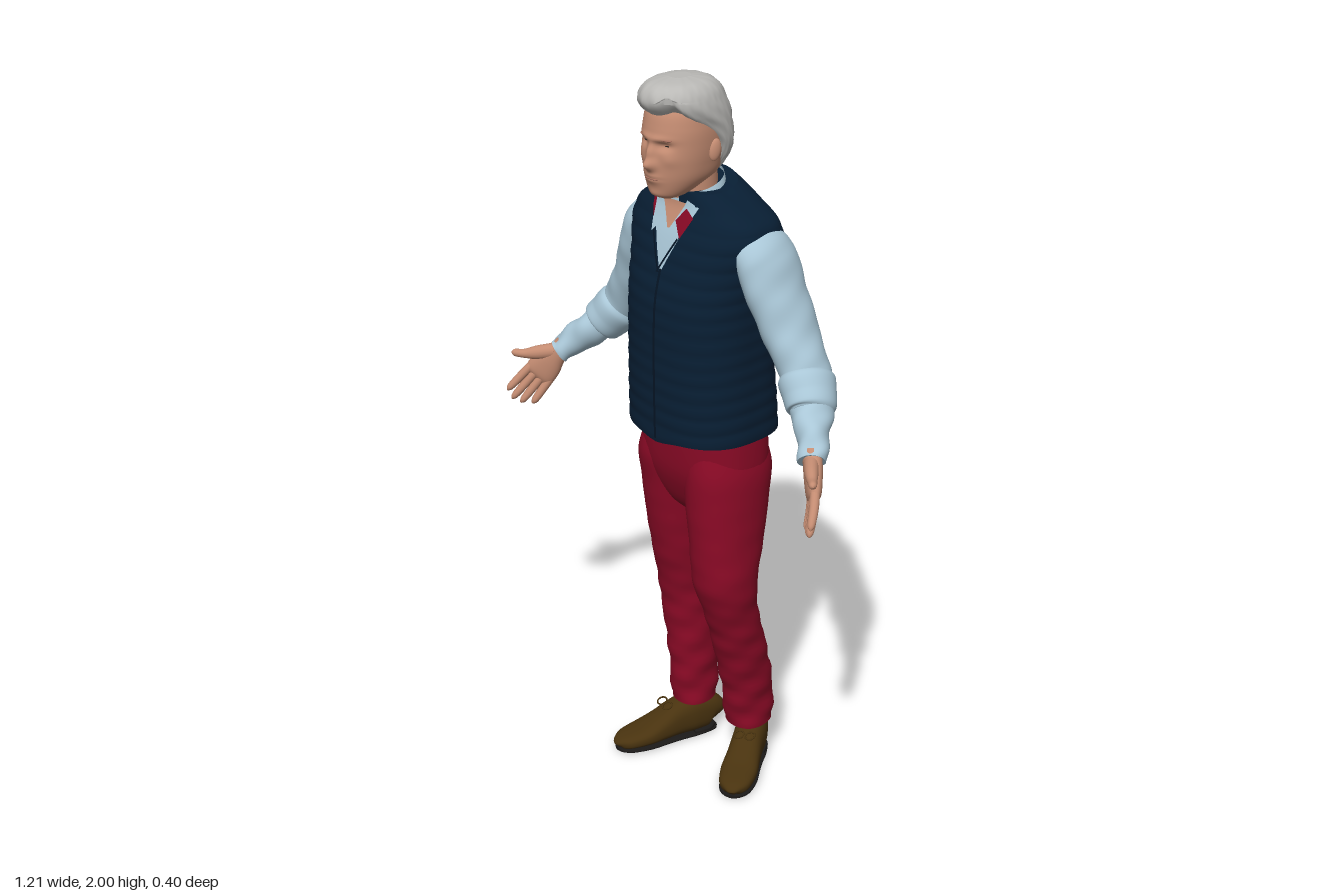
import * as THREE from 'three';

const V = (x, y, z) => new THREE.Vector3(x, y, z);
const paint = (name, color) => {
  const m = new THREE.MeshStandardMaterial({ color, side: THREE.DoubleSide });
  m.name = name;
  return m;
};

// Catmull-Rom sample of a list of stations [x, y, z, radiusA, radiusB]
function sample(st, t) {
  const f = t * (st.length - 1), i = Math.min(Math.floor(f), st.length - 2), u = f - i;
  const at = k => st[Math.max(0, Math.min(st.length - 1, k))];
  return st[0].map((_, j) => {
    const a = at(i - 1)[j], b = at(i)[j], c = at(i + 1)[j], d = at(i + 2)[j];
    return 0.5 * (2 * b + (c - a) * u + (2 * a - 5 * b + 4 * c - d) * u * u + (3 * b - a - 3 * c + d) * u ** 3);
  });
}

// Skin of superellipse rings through the stations; mod() may shift each point
function loft(name, mat, st, { seg = 32, sub = 6, n = 2, nBack = n, flat = false, ref = V(0, 0, 1), open = false, mod } = {}) {
  const rows = (st.length - 1) * sub, pos = [], idx = [];
  const up = V(0, Math.sign(st[st.length - 1][1] - st[0][1]), 0);
  const pow = (v, e) => Math.sign(v) * Math.abs(v) ** (2 / e);
  for (let r = 0; r <= rows; r++) {
    const t = r / rows, [x, y, z, ra, rb] = sample(st, t), c = V(x, y, z);
    const p0 = sample(st, Math.max(0, t - 0.01)), p1 = sample(st, Math.min(1, t + 0.01));
    const T = flat ? up : V(p1[0] - p0[0], p1[1] - p0[1], p1[2] - p0[2]).normalize();
    const A = ref.clone().addScaledVector(T, -ref.dot(T)).normalize(), B = T.clone().cross(A);
    for (let k = 0; k < seg; k++) {
      const th = k / seg * Math.PI * 2, e = Math.cos(th) < 0 ? nBack : n;
      const p = c.clone().addScaledVector(A, pow(Math.cos(th), e) * Math.max(ra, 0.001))
        .addScaledVector(B, pow(Math.sin(th), e) * Math.max(rb, 0.001));
      if (mod) mod(p, th, t, p.clone().sub(c).normalize());
      pos.push(p.x, p.y, p.z);
    }
  }
  for (let r = 0; r < rows; r++) for (let k = 0; k < seg; k++) {
    const a = r * seg + k, b = r * seg + (k + 1) % seg;
    idx.push(a, b, b + seg, a, b + seg, a + seg);
  }
  // end caps with their own vertices so the hems stay crisp
  if (!open) for (const r of [0, rows]) {
    const base = pos.length / 3, c = V(0, 0, 0);
    for (let k = 0; k < seg; k++) {
      const q = pos.slice((r * seg + k) * 3, (r * seg + k) * 3 + 3);
      pos.push(...q);
      c.add(V(...q).divideScalar(seg));
    }
    pos.push(c.x, c.y, c.z);
    for (let k = 0; k < seg; k++) {
      const a = base + k, b = base + (k + 1) % seg;
      idx.push(...(r ? [a, b, base + seg] : [b, a, base + seg]));
    }
  }
  return surface(name, mat, pos, idx);
}

function surface(name, mat, pos, idx) {
  const g = new THREE.BufferGeometry();
  g.setAttribute('position', new THREE.Float32BufferAttribute(pos, 3));
  g.setIndex(idx);
  g.computeVertexNormals();
  const m = new THREE.Mesh(g, mat);
  m.name = name;
  return m;
}

function blob(name, mat, x, y, z, sx, sy, sz) {
  const m = new THREE.Mesh(new THREE.SphereGeometry(1, 20, 14), mat);
  m.name = name;
  m.position.set(x, y, z);
  m.scale.set(sx, sy, sz);
  return m;
}

const VEST_N = 2.4;
const VEST = [[0, 1.02, -.023, .164, .198], [0, 1.1, -.02, .163, .196], [0, 1.235, -.014, .158, .193],
  [0, 1.4, -.02, .16, .196], [0, 1.5, -.034, .152, .208], [0, 1.58, -.037, .13, .224],
  [0, 1.63, -.038, .11, .21], [-.004, 1.665, -.034, .094, .157], [-.01, 1.7, -.02, .078, .1]];

// Depth of the vest front at (x, y)
function frontZ(x, y) {
  let lo = 0, hi = 1;
  for (let i = 0; i < 24; i++) { const m = (lo + hi) / 2; if (sample(VEST, m)[1] < y) lo = m; else hi = m; }
  const [cx, , z, rz, rx] = sample(VEST, lo);
  return z + rz * Math.max(0, 1 - Math.abs((x - cx) / rx) ** VEST_N) ** (1 / VEST_N);
}

// Thin cloth patch laid on the chest; corners are bottom pair, then top pair
function patch(name, mat, bl, br, tl, tr, off) {
  const pos = [], idx = [], N = 14, mix = THREE.MathUtils.lerp;
  for (let j = 0; j <= N; j++) for (let i = 0; i <= N; i++) {
    const u = i / N, v = j / N;
    const x = mix(mix(bl[0], br[0], u), mix(tl[0], tr[0], u), v), y = mix(mix(bl[1], br[1], u), mix(tl[1], tr[1], u), v);
    pos.push(x, y, frontZ(x, y) + off);
    if (i < N && j < N) { const a = j * (N + 1) + i, b = a + N + 1; idx.push(a, a + 1, b + 1, a, b + 1, b); }
  }
  return surface(name, mat, pos, idx);
}

export function createModel() {
  const model = new THREE.Group();
  model.name = 'standingMan';
  const add = (...m) => model.add(...m);
  const skin = paint('skin', 0xc48c72), lip = paint('lips', 0xa8705f), hair = paint('grey hair', 0xbab9b6);
  const navy = paint('navy vest', 0x081e33), shirt = paint('pale blue shirt', 0xa9c6d6), red = paint('crimson cloth', 0x860924);
  const brown = paint('brown leather', 0x49330f), dark = paint('dark rubber', 0x1c1a19), seam = paint('vest seam', 0x051424);

  // Torso: softly quilted vest
  add(loft('vest', navy, VEST, {
    seg: 72, sub: 14, n: VEST_N, nBack: 3, flat: true,
    mod(p, th, t, out) {
      p.addScaledVector(out, .003 + .003 * Math.abs(Math.sin(Math.PI * p.y / .046 + .3 * Math.sin(th * 3))) * Math.min(1, (1.7 - p.y) * 8));
      p.y += Math.max(0, Math.min(1, (p.y - 1.6) / .1)) * Math.max(0, -p.z - .02) * .4 * Math.exp(-((p.x / .12) ** 2));
      if (t < .06 && p.z > 0) p.y -= .012 * Math.exp(-((p.x / .05) ** 2));
    }
  }));
  add(patch('zip', seam, [-.004, 1.02], [.004, 1.02], [-.004, 1.5], [.004, 1.5], .008));

  // Neck opening: shirt, bare throat, collar flaps and red lining
  add(patch('shirtFront', shirt, [-.003, 1.495], [.003, 1.495], [-.085, 1.67], [.075, 1.67], .008));
  add(patch('throat', skin, [-.008, 1.605], [.0, 1.605], [-.05, 1.675], [.036, 1.675], .011));
  for (const s of [-1, 1]) {
    const q = (x, y) => [-.008 + s * x, y];
    add(patch('collarFlap', shirt, q(.022, 1.62), q(.05, 1.585), q(.05, 1.685), q(.075, 1.675), .014));
    add(patch('vestNeckEdge', seam, q(-.006, 1.49), q(0, 1.49), q(.07, 1.64), q(.077, 1.64), .01));
  }
  add(patch('collarLining', red, [.02, 1.63], [.05, 1.59], [.046, 1.665], [.075, 1.645], .018));
  add(patch('collarLining', red, [-.076, 1.645], [-.062, 1.62], [-.084, 1.68], [-.07, 1.675], .018));
  add(loft('collar', shirt, [[-.012, 1.64, -.012, .08, .094], [-.012, 1.69, -.012, .076, .084], [-.012, 1.712, -.012, .073, .077]],
    { flat: true, open: true, mod: p => { p.y -= p.z * .3; } }));
  add(loft('neck', skin, [[-.012, 1.58, -.02, .07, .07], [-.014, 1.66, -.006, .068, .068], [-.018, 1.76, .0, .068, .07]], { flat: true }));

  // Head with sculpted face
  const HX = -.02;
  add(loft('head', skin, [[HX, 1.686, .085, .02, .024], [HX, 1.7, .07, .055, .05], [HX, 1.74, .033, .102, .079], [HX, 1.785, .025, .113, .09],
    [HX, 1.83, .02, .117, .095], [HX, 1.88, .018, .115, .095], [HX, 1.93, .015, .1, .085], [HX, 1.965, .01, .05, .05]], {
    seg: 112, sub: 11, n: 2.15, flat: true,
    mod(p) {
      if (p.z < .03) return;
      const x = Math.abs(p.x - HX), y = p.y;
      const g = (x0, y0, sx, sy) => Math.exp(-(((x - x0) / sx) ** 2) - ((y - y0) / sy) ** 2);
      p.z += .025 * g(0, 1.783, .016, .016) + .014 * g(0, 1.815, .012, .022) + .006 * g(.02, 1.853, .035, .009)
        - .011 * g(.036, 1.836, .02, .012) + .008 * g(0, 1.746, .026, .014) - .004 * g(0, 1.746, .026, .004)
        + .004 * g(0, 1.7, .025, .012) + .004 * g(.055, 1.8, .018, .018);
    }
  }));
  add(blob('lips', lip, HX, 1.745, .1365, .023, .003, .005));
  for (const s of [-1, 1]) {
    add(blob('eye', dark, HX + s * .036, 1.836, .1145, .011, .0025, .006));
    const brow = blob('eyebrow', lip, HX + s * .038, 1.853, .125, .021, .003, .007);
    brow.rotation.y = s * .35;
    add(brow);
    const ear = blob('ear', skin, HX + s * .097, 1.815, .004, .009, .03, .017);
    ear.rotation.set(-.2, s * -.3, 0);
    add(ear);
  }

  // Swept-back hair, parted on the left
  add(loft('hair', hair, [[HX, 1.745, -.042, .03, .058], [HX, 1.785, -.05, .042, .083], [HX, 1.83, -.045, .056, .098], [HX, 1.875, -.02, .082, .103],
    [HX, 1.91, .01, .112, .104], [HX, 1.94, .029, .119, .1], [HX, 1.97, .034, .108, .088], [HX, 1.99, .036, .08, .065], [HX, 1.999, .036, .03, .025]], {
    seg: 72, sub: 8, n: 2.15, flat: true,
    mod(p, th, t, out) {
      p.addScaledVector(out, .0012 * Math.sin(th * 13 + p.y * 70) + .0008 * Math.sin(th * 29 - p.y * 90));
      if (p.z > .05 && p.y < 1.95) p.y += .022 * Math.exp(-(((p.x - .035) / .022) ** 2));
    }
  }));

  // Sleeves and hands
  for (const s of [-1, 1]) {
    const side = s > 0 ? 'left' : 'right', m = st => st.map(([x, ...r]) => [x * s, ...r]);
    add(loft(side + 'Sleeve', shirt, m([[.155, 1.575, -.047, .075, .045], [.195, 1.562, -.047, .09, .06], [.22, 1.525, -.05, .096, .062], [.252, 1.44, -.058, .091, .064],
      [.3, 1.34, -.066, .08, .064], [.355, 1.25, -.06, .07, .06], [.4, 1.195, -.035, .061, .054], [.45, 1.145, .011, .048, .044], [.496, 1.094, .058, .035, .035]]), {
      seg: 40, sub: 9,
      mod: (p, th, t, out) => p.addScaledVector(out, t * (.0035 * Math.sin(t * 37 + 2.5 * Math.sin(th * s + 1)) + .002 * Math.sin(t * 61 - 3 * th * s)))
    }));
    add(loft(side + 'RolledCuff', shirt, m([[.352, 1.252, -.062, .07, .06], [.362, 1.24, -.056, .079, .069], [.385, 1.212, -.043, .074, .066], [.408, 1.187, -.027, .068, .061], [.414, 1.18, -.022, .055, .048]]), { seg: 40 }));

    // hand axes: along the fingers, toward the thumb, out of the palm
    const d = V(.47 * s, -.775, .42), w = V(.6 * s, .62, .465), n = V(-.6 * s, 0, .78);
    const at = (a, b, c, ra, rb) => {
      const p = V(.493 * s, 1.1, .055).addScaledVector(d, a).addScaledVector(w, b).addScaledVector(n, c);
      return [p.x, p.y, p.z, ra, rb];
    };
    const hand = new THREE.Group();
    hand.name = side + 'Hand';
    hand.add(loft('palm', skin, [at(-.02, 0, 0, .026, .028), at(.02, .002, 0, .025, .032), at(.06, .003, 0, .023, .044), at(.1, 0, 0, .018, .045), at(.117, 0, 0, .008, .036)], { ref: n, n: 2.3 }));
    [.075, .096, .104, .092].forEach((len, i) => {
      const b = (i - 1.5) * .022, e = b * 1.2;
      hand.add(loft('finger', skin, [at(.09, b, 0, .013, .0125), at(.1 + len * .4, (b + e) / 2, .005, .0125, .0125), at(.1 + len * .9, e, .014, .01, .01), at(.105 + len, e, .017, .002, .002)], { ref: n, seg: 14 }));
    });
    hand.add(loft('thumb', skin, [at(.015, .012, .005, .02, .022), at(.05, .045, .01, .018, .02), at(.077, .072, .012, .013, .013), at(.093, .096, .014, .01, .01), at(.098, .103, .014, .002, .002)], { ref: n, seg: 16 }));
    add(hand);
  }

  // Trousers: seat flows into the legs
  add(loft('trouserSeat', red, [[0, 1.06, -.03, .132, .18], [.003, .98, -.033, .138, .188], [.008, .91, -.03, .132, .186], [.011, .85, -.026, .112, .165], [.015, .8, -.022, .085, .12], [.02, .765, -.02, .05, .06]], { seg: 48, n: 2.4, flat: true }));
  const legs = {
    left: [[.088, .99, -.032, .115, .085], [.104, .92, -.026, .13, .097], [.112, .84, -.014, .125, .099], [.13, .72, .005, .11, .09], [.145, .6, .025, .09, .085],
      [.152, .5, .008, .077, .07], [.15, .4, -.022, .077, .068], [.148, .25, -.06, .077, .062], [.145, .12, -.072, .071, .064]],
    right: [[-.085, .99, -.035, .115, .085], [-.092, .92, -.034, .13, .097], [-.089, .84, -.033, .12, .098], [-.085, .72, -.03, .105, .09], [-.082, .6, -.032, .088, .082],
      [-.083, .5, -.047, .083, .078], [-.078, .4, -.055, .081, .075], [-.06, .25, -.052, .075, .062], [-.052, .12, -.046, .068, .06]]
  };
  for (const [side, st] of Object.entries(legs)) add(loft(side + 'TrouserLeg', red, st, {
    seg: 40, sub: 10, n: 2.15, flat: true,
    mod: (p, th, t, out) => p.addScaledVector(out, t * t * (.003 * Math.sin(p.y * 62 + 3 * Math.sin(th + 1)) + .002 * Math.sin(p.y * 97 - 2 * th)))
  }));

  // Shoes: distance from heel, height, half width
  const SHOE = [[0, .07, .02], [.015, .105, .036], [.07, .122, .045], [.12, .112, .045], [.17, .086, .048], [.225, .062, .052], [.28, .048, .044], [.306, .038, .026], [.314, .025, .008]];
  const feet = { left: [.119, -.133, .285, .13], right: [-.032, -.105, -.118, .187] };
  for (const [side, [hx, hz, tx, tz]] of Object.entries(feet)) {
    const dir = V(tx - hx, 0, tz - hz).normalize(), shoe = new THREE.Group();
    const on = (t, y, ...r) => [hx + dir.x * t, y, hz + dir.z * t, ...r];
    shoe.name = side + 'Shoe';
    shoe.add(loft('upper', brown, SHOE.map(([t, h, w]) => on(t, (h + .006) / 2, (h - .006) / 2, w)), { ref: V(0, 1, 0), n: 2.6 }));
    shoe.add(loft('sole', dark, SHOE.map(([t, , w]) => on(t, .005, .005, w)), { ref: V(0, 1, 0), n: 4 }));
    shoe.add(loft('heelBlock', dark, [on(.006, .009, .009, .022), on(.03, .009, .009, .039), on(.08, .009, .009, .041)], { ref: V(0, 1, 0), n: 4 }));
    for (const s of [-1, 1]) {
      const lace = new THREE.Mesh(new THREE.TorusGeometry(.014, .0025, 6, 18), brown);
      lace.name = 'laceLoop';
      const [x, y, z] = on(.16, .112);
      lace.position.set(x + dir.z * s * .016, y, z - dir.x * s * .016);
      lace.rotation.set(-1.2, 0, s * .4);
      shoe.add(lace);
    }
    add(shoe);
  }
  return model;
}
